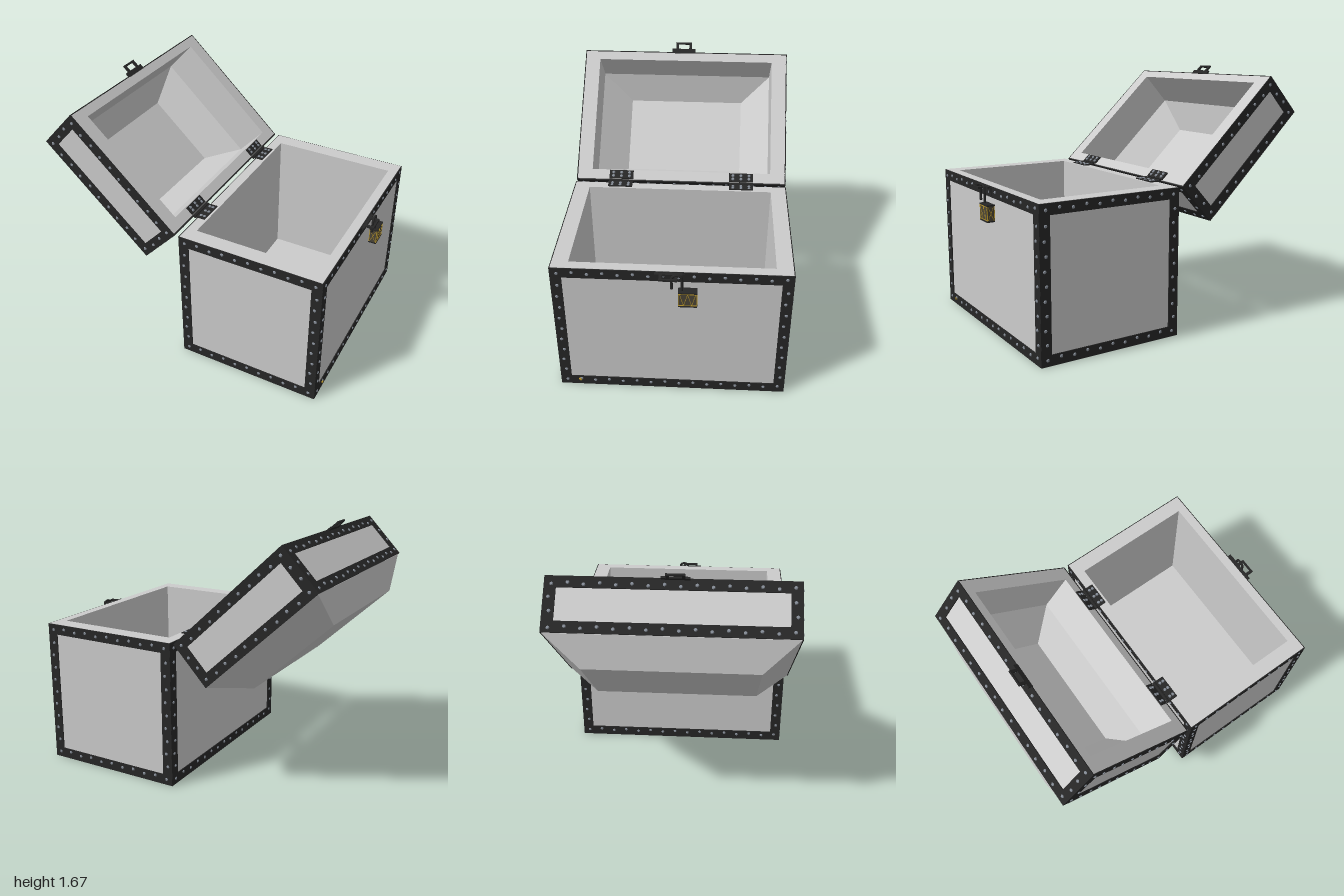
import * as THREE from 'three';
import { mergeGeometries } from 'three/addons/utils/BufferGeometryUtils.js';

const mat = (color) => new THREE.MeshStandardMaterial({ color, flatShading: true });
const GREY = mat(0xcccccc), IRON = mat(0x262626), STUD = mat(0x858c96);
const GOLD = mat(0xb8952a), LOCK = mat(0x4a4436);

function add(parent, name, geometry, material, x = 0, y = 0, z = 0) {
  const m = new THREE.Mesh(geometry, material);
  m.name = name;
  m.position.set(x, y, z);
  parent.add(m);
  return m;
}
const box = (parent, name, material, sx, sy, sz, x, y, z) =>
  add(parent, name, new THREE.BoxGeometry(sx, sy, sz), material, x, y, z);

// Skin over a chain of rectangles [x0, x1, y, halfZ], capped at both ends
function shell(rings) {
  const pts = [], index = [];
  rings.forEach(([x0, x1, y, z]) => pts.push(x0, y, z, x1, y, z, x1, y, -z, x0, y, -z));
  for (let r = 0; r < rings.length - 1; r++) {
    for (let i = 0; i < 4; i++) {
      const a = r * 4 + i, b = r * 4 + (i + 1) % 4;
      index.push(a, b, b + 4, a, b + 4, a + 4);
    }
  }
  const e = (rings.length - 1) * 4;
  index.push(2, 1, 0, 3, 2, 0, e, e + 1, e + 2, e, e + 2, e + 3);
  const g = new THREE.BufferGeometry();
  g.setAttribute('position', new THREE.Float32BufferAttribute(pts, 3));
  g.setIndex(index);
  const flat = g.toNonIndexed();
  flat.computeVertexNormals();
  return flat;
}

// Rivet heads pointing along +z
function studs(parent, points, z) {
  const list = points.map(([x, y]) =>
    new THREE.CylinderGeometry(0.007, 0.012, 0.007, 8).rotateX(Math.PI / 2).translate(x, y, z));
  return add(parent, 'studs', mergeGeometries(list), STUD);
}

// Studded iron frame, standing on y = 0 and facing +z
const BAND = 0.068;
function ironFrame(w, h) {
  const g = new THREE.Group();
  g.name = 'ironFrame';
  const s = new THREE.Shape();
  s.moveTo(-w / 2, 0).lineTo(w / 2, 0).lineTo(w / 2, h).lineTo(-w / 2, h).closePath();
  const hole = new THREE.Path(), a = w / 2 - BAND;
  hole.moveTo(-a, BAND).lineTo(-a, h - BAND).lineTo(a, h - BAND).lineTo(a, BAND).closePath();
  s.holes.push(hole);
  add(g, 'bands', new THREE.ExtrudeGeometry(s, { depth: 0.007, bevelEnabled: false }), IRON);
  const pts = [], e = 0.042;
  const nx = Math.round((w - 2 * e) / 0.09), ny = Math.max(2, Math.round((h - 2 * e) / 0.088));
  for (let i = 0; i <= nx; i++) {
    const x = -w / 2 + e + (w - 2 * e) * i / nx, j = i % 2 ? 0.006 : -0.004;
    pts.push([x, e + j], [x, h - e + j + 0.008]);
  }
  for (let i = 1; i < ny; i++) {
    const y = e + (h - 2 * e) * i / ny, j = i % 2 ? 0.005 : -0.005;
    pts.push([-w / 2 + 0.035 + j, y], [w / 2 - 0.035 + j, y]);
  }
  studs(g, pts, 0.009);
  return g;
}

// Four frames around a block of length L (x), height h and depth D (z)
function ironwork(parent, cx, L, h, D) {
  for (let i = 0; i < 4; i++) {
    const side = i % 2;
    const f = ironFrame(side ? D : L, h);
    f.rotation.y = i * Math.PI / 2;
    const off = (side ? L : D) / 2 - 0.006;
    f.position.set(cx + Math.sin(f.rotation.y) * off, 0, Math.cos(f.rotation.y) * off);
    parent.add(f);
  }
}

// Flat plate with a square loop reaching out along +x
function hasp(parent, x, y) {
  const g = new THREE.Group();
  g.name = 'hasp';
  box(g, 'haspPlate', IRON, 0.035, 0.012, 0.165, 0, 0, 0);
  for (const s of [-1, 1]) box(g, 'loopArm', IRON, 0.055, 0.012, 0.018, 0.04, 0, s * 0.046);
  box(g, 'loopEnd', IRON, 0.012, 0.012, 0.11, 0.061, 0, 0);
  g.position.set(x, y, 0.015);
  parent.add(g);
}

// Hinge leaf with six studs on its face (face up, or down when dir is -1)
function leaf(parent, x, y, z, dir) {
  const g = new THREE.Group();
  g.name = 'hingeLeaf';
  box(g, 'leafPlate', IRON, 0.06, 0.165, 0.01, 0, 0, 0);
  const pts = [];
  for (const u of [-0.055, 0, 0.055]) pts.push([0.014, u], [-0.01, u]);
  studs(g, pts, 0.007);
  g.rotation.x = -dir * Math.PI / 2;
  g.position.set(x, y, z);
  parent.add(g);
}

function padlock() {
  const g = new THREE.Group();
  g.name = 'padlock';
  const h = 0.1, w = 0.11, t = 0.046;
  box(g, 'lockBody', LOCK, t, h, w, 0, 0, 0);
  for (const s of [-1, 1]) {
    box(g, 'lockCap', IRON, t + 0.006, 0.008, w + 0.004, 0, s * h / 2, 0);
    for (const r of [-1, 1]) {
      box(g, 'goldEdge', GOLD, 0.004, h - 0.008, 0.004, s * t / 2, 0, r * w / 2);
      box(g, 'goldRail', GOLD, 0.004, 0.004, w, s * t / 2, r * 0.042, 0);
    }
    // zigzag inlay on the broad faces
    for (let i = 0; i < 4; i++) {
      const bar = box(g, 'goldInlay', GOLD, 0.003, 0.086, 0.003, s * t / 2, 0, -0.036 + i * 0.024);
      bar.rotation.x = (i % 2 ? 1 : -1) * 0.27;
    }
    // crossed inlay on the narrow ends
    for (const r of [-1, 1]) {
      const bar = box(g, 'goldInlay', GOLD, 0.003, 0.09, 0.003, 0, 0, s * w / 2);
      bar.rotation.z = r * 0.4;
    }
  }
  // open shackle
  const path = [new THREE.Vector3(0, 0.045, 0.035), new THREE.Vector3(0, 0.13, 0.035)];
  for (let i = 1; i <= 6; i++) {
    const a = Math.PI * i / 6;
    path.push(new THREE.Vector3(0, 0.135 + 0.028 * Math.sin(a), 0.065 - 0.03 * Math.cos(a)));
  }
  path.push(new THREE.Vector3(0, 0.07, 0.095));
  add(g, 'shackle', new THREE.TubeGeometry(new THREE.CatmullRomCurve3(path), 28, 0.008, 8), IRON);
  add(g, 'shackleTip', new THREE.SphereGeometry(0.01, 8, 6), IRON, 0, 0.07, 0.095);
  g.position.set(0.97, 0.8, -0.1);
  return g;
}

export function createModel() {
  const model = new THREE.Group();
  model.name = 'chest';

  // Open box
  const base = new THREE.Group();
  base.name = 'base';
  add(base, 'baseShell', shell([
    [-0.025, 0.925, 0, 0.715], [-0.025, 0.925, 0.955, 0.715],
    [0.04, 0.865, 0.955, 0.615], [0.04, 0.865, 0.07, 0.615]]), GREY);
  ironwork(base, 0.45, 0.96, 0.953, 1.44);
  hasp(base, 0.934, 0.945);
  box(base, 'haspBacking', IRON, 0.008, 0.05, 0.165, 0.932, 0.92, 0.0);
  const odd = add(base, 'goldStud', new THREE.CylinderGeometry(0.008, 0.013, 0.01, 8), GOLD, 0.934, 0.042, 0.594);
  odd.rotation.z = -Math.PI / 2;
  base.add(padlock());
  model.add(base);

  // Lid, built closed with its hinge edge at the origin, then swung open
  const lid = new THREE.Group();
  lid.name = 'lid';
  add(lid, 'lidShell', shell([
    [0.197, 0.743, 0.43, 0.415], [0.067, 0.89, 0.265, 0.615], [0.067, 0.89, 0, 0.615],
    [0, 0.95, 0, 0.715], [-0.008, 0.945, 0.33, 0.715], [0.13, 0.81, 0.5, 0.51]]), GREY);
  ironwork(lid, 0.473, 0.965, 0.33, 1.44);
  hasp(lid, 0.965, 0.004);
  lid.position.set(-0.065, 0.96, 0);
  lid.rotation.z = THREE.MathUtils.degToRad(136.9);
  model.add(lid);

  // Hinges
  for (const z of [-0.415, 0.41]) {
    leaf(base, -0.005, 0.957, z, 1);
    leaf(lid, 0.032, -0.003, z, -1);
    const pin = add(model, 'hingePin', new THREE.CylinderGeometry(0.011, 0.011, 0.165, 8), IRON, -0.047, 0.957, z);
    pin.rotation.x = Math.PI / 2;
  }
  return model;
}
